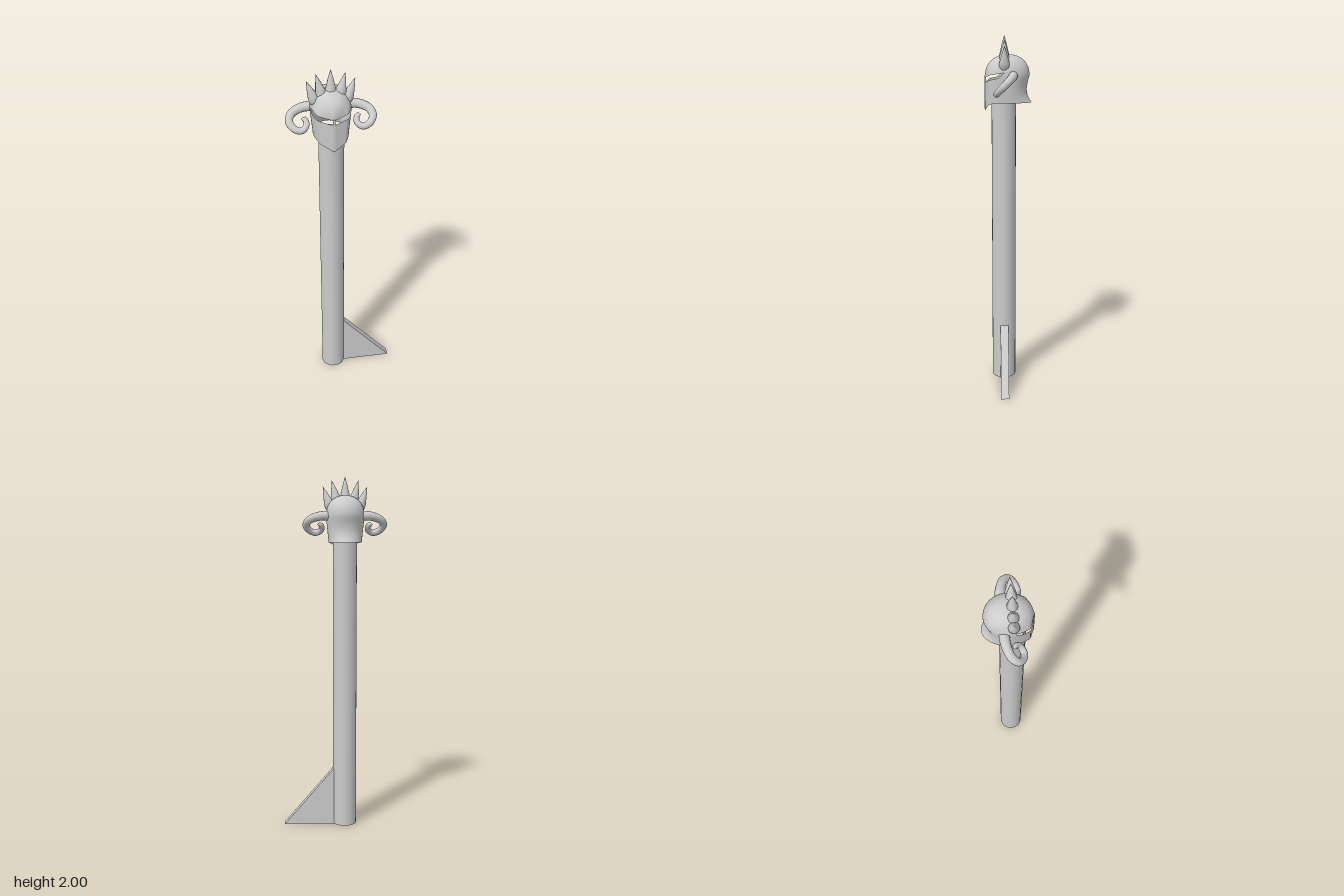
import * as THREE from 'three';

const CX = -0.056; // axis shared by shaft and helmet
const SIDE = 1.4; // angle from the front where the visor meets the back
const mat = new THREE.MeshStandardMaterial({ color: 0xcccccc });
const thin = new THREE.MeshStandardMaterial({ color: 0xcccccc, side: THREE.DoubleSide });

function add(parent, name, geometry, material = mat) {
  const mesh = new THREE.Mesh(geometry, material);
  mesh.name = name;
  parent.add(mesh);
  return mesh;
}

// Point on the helmet shell at an angle from the front and a height
function shell(angle, y) {
  const t = Math.min(1, Math.max(0, (y - 1.78) / 0.115));
  const k = Math.max(0, (1.78 - y) / 0.145);
  const s = Math.pow(1 - Math.pow(t, 2.2), 1 / 2.2);
  const x = (0.107 - 0.015 * k) * Math.sin(angle);
  const c = Math.cos(angle);
  let z;
  if (c > 0) {
    const keel = Math.min(0.15 * c, 0.13 - 0.35 * Math.abs(x));
    z = THREE.MathUtils.lerp(keel, 0.127 * c, Math.min(1, t * 2));
  } else {
    z = (0.118 - 0.045 * k + 0.057 * k ** 3) * c;
  }
  return [x * s, y, z * s];
}

// Grid of the shell between two angles and two height curves
function shellPatch(a0, a1, cols, rows, top, bottom) {
  const pos = [], index = [];
  for (let j = 0; j <= rows; j++) {
    for (let i = 0; i <= cols; i++) {
      const a = a0 + (a1 - a0) * i / cols;
      const yt = top(a), yb = bottom(a);
      const v = j / rows;
      pos.push(...shell(a, yt + (yb - yt) * (yt > 1.85 ? v ** 1.8 : v)));
    }
  }
  for (let j = 0; j < rows; j++) {
    for (let i = 0; i < cols; i++) {
      const p = j * (cols + 1) + i, q = p + cols + 1;
      index.push(p, q, p + 1, p + 1, q, q + 1);
    }
  }
  const g = new THREE.BufferGeometry();
  g.setAttribute('position', new THREE.Float32BufferAttribute(pos, 3));
  g.setIndex(index);
  g.computeVertexNormals();
  return g;
}

// Tube along a curled path, narrowing to a rounded tip
function hornGeometry(side) {
  const path = new THREE.CatmullRomCurve3([
    [0.08, 1.783, -0.025], [0.145, 1.78, -0.021], [0.2, 1.76, 0], [0.217, 1.732, 0.03],
    [0.195, 1.702, 0.057], [0.158, 1.691, 0.065], [0.13, 1.71, 0.047],
    [0.135, 1.733, 0.026], [0.155, 1.737, 0.021],
  ].map(([x, y, z]) => new THREE.Vector3(x * side, y, z)));
  const n = 40, sides = 12;
  const g = new THREE.TubeGeometry(path, n, 1, sides);
  const p = g.attributes.position, v = new THREE.Vector3();
  for (let i = 0; i <= n; i++) {
    const t = i / n;
    const r = (0.027 - 0.013 * t) * Math.sqrt(Math.max(0, 1 - Math.max(0, (t - 0.93) / 0.07) ** 2));
    const centre = path.getPointAt(t);
    for (let j = 0; j <= sides; j++) {
      const id = i * (sides + 1) + j;
      v.fromBufferAttribute(p, id).sub(centre).multiplyScalar(r).add(centre);
      p.setXYZ(id, v.x, v.y, v.z);
    }
  }
  return g;
}

export function createModel() {
  const model = new THREE.Group();

  // Shaft
  const shaft = add(model, 'shaft', new THREE.CylinderGeometry(0.068, 0.068, 1.66, 24));
  shaft.position.set(CX, 0.83, 0.025);

  // Triangular fin at the foot
  const tri = new THREE.Shape([[-0.03, 0], [0.295, 0], [0.01, 0.33], [-0.03, 0.33]]
    .map(([x, y]) => new THREE.Vector2(x, y)));
  const fin = add(model, 'fin', new THREE.ExtrudeGeometry(tri, { depth: 0.046, bevelEnabled: false }));
  fin.position.z = 0;

  const head = new THREE.Group();
  head.name = 'helmet';
  head.position.x = CX;
  model.add(head);

  // Helmet shell: brow over the eye slits, visor below, flared neck guard behind
  const apex = () => 1.895;
  const brow = a => 1.768 + 0.032 * Math.min(1, Math.abs(a) / SIDE);
  const slitBase = a => brow(a) - 0.026 * Math.min(1, (SIDE - Math.abs(a)) / 0.25);
  const chin = a => 1.588 + 0.047 * Math.min(1, Math.abs(Math.sin(a)) * 0.095 / 0.085);
  add(head, 'crown', shellPatch(-SIDE, SIDE, 24, 14, apex, brow), thin);
  add(head, 'neckGuard', shellPatch(SIDE, 2 * Math.PI - SIDE, 28, 24, apex, () => 1.635), thin);
  add(head, 'visorLeft', shellPatch(0, SIDE, 14, 8, slitBase, chin), thin);
  add(head, 'visorRight', shellPatch(-SIDE, 0, 14, 8, slitBase, chin), thin);

  // Raised strip down the middle of the visor
  const ridge = add(head, 'visorRidge', new THREE.BoxGeometry(0.012, 0.18, 0.008));
  ridge.position.set(0, 1.683, 0.127);

  // Curled horns
  for (const side of [1, -1]) {
    add(head, side > 0 ? 'hornLeft' : 'hornRight', hornGeometry(side), thin);
  }

  // Fan of crest spikes: base and tip as [x, y]
  const spikes = [
    [0, 1.86, 0, 2], [0.045, 1.85, 0.074, 1.978], [0.08, 1.825, 0.124, 1.945],
    [-0.045, 1.85, -0.074, 1.978], [-0.08, 1.825, -0.124, 1.945],
  ];
  for (const [bx, by, tx, ty] of spikes) {
    const length = Math.hypot(tx - bx, ty - by);
    const profile = [[0, -0.02], [0.022, -0.012], [0.03, 0.012], [0.027, 0.035], [0.015, length * 0.62], [0, length]];
    const spike = add(head, 'crestSpike',
      new THREE.LatheGeometry(profile.map(([r, y]) => new THREE.Vector2(r, y)), 10));
    spike.position.set(bx, by, 0.022);
    spike.rotation.z = -Math.atan2(tx - bx, ty - by);
  }

  return model;
}
